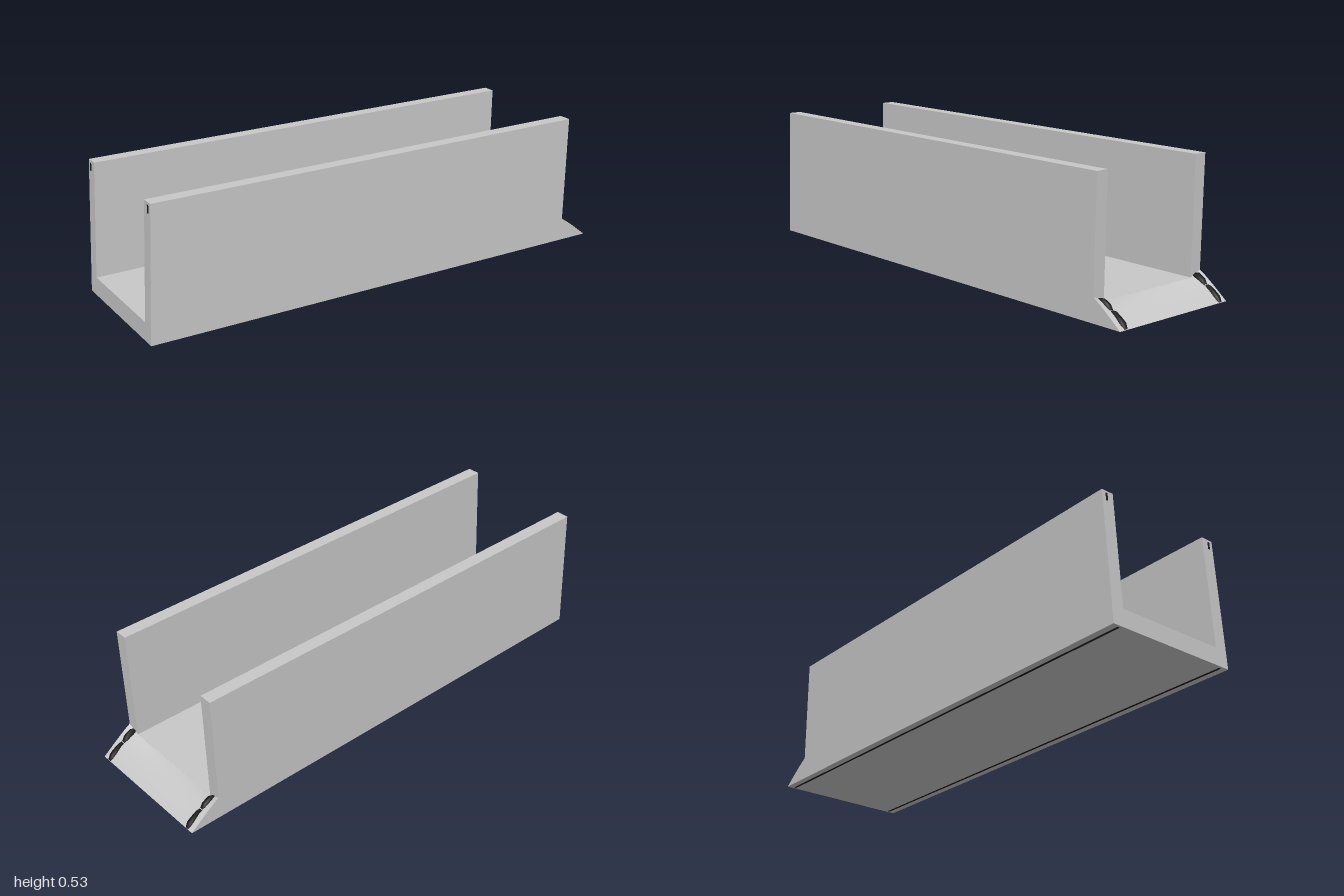
import * as THREE from 'three';
import { toCreasedNormals } from 'three/addons/utils/BufferGeometryUtils.js';

const HALF = 0.28, INNER = 0.228, FLOOR = 0.072, TOP = 0.53, LIP = 0.094;
const FRONT = 0.873;

const concrete = new THREE.MeshStandardMaterial({ name: 'light grey', color: 0xc8c8c8 });
const rubber = new THREE.MeshStandardMaterial({ name: 'black rubber', color: 0x1c1c1c, side: THREE.DoubleSide });

// Height of the sloping nose: t runs from the channel (0) to the tip (1)
function noseHeight(t, z) {
  const k = Math.max(0, (Math.abs(z) - INNER) / (HALF - INNER));
  const h = FLOOR + (LIP - FLOOR) * k;
  return h * (1 - Math.pow(t, 1.45 - 0.35 * k));
}
const noseX = (t) => FRONT + (1 - FRONT) * t;

// Surface through rows of equally many points
function loft(rows) {
  const pos = [], idx = [], n = rows[0].length;
  rows.forEach((r) => r.forEach((p) => pos.push(...p)));
  for (let i = 0; i < rows.length - 1; i++) {
    for (let j = 0; j < n - 1; j++) {
      const a = i * n + j, b = a + n;
      idx.push(a, b, a + 1, b, b + 1, a + 1);
    }
  }
  const g = new THREE.BufferGeometry();
  g.setAttribute('position', new THREE.Float32BufferAttribute(pos, 3));
  g.setIndex(idx);
  g.computeVertexNormals();
  return g;
}

function add(group, name, geometry, material) {
  const mesh = new THREE.Mesh(geometry, material);
  mesh.name = name;
  group.add(mesh);
  return mesh;
}

// U-shaped channel with slanted ends
function channelGeometry() {
  const u = new THREE.Shape([
    [-HALF, 0], [HALF, 0], [HALF, TOP], [INNER, TOP],
    [INNER, FLOOR], [-INNER, FLOOR], [-INNER, TOP], [-HALF, TOP],
  ].map(([x, y]) => new THREE.Vector2(x, y)));
  const g = new THREE.ExtrudeGeometry(u, { depth: 1, bevelEnabled: false });
  g.rotateY(Math.PI / 2);
  const p = g.attributes.position;
  for (let i = 0; i < p.count; i++) {
    const y = p.getY(i);
    p.setX(i, p.getX(i) > 0.5 ? FRONT + 0.015 * y : -1 + 0.05 * y);
  }
  g.computeVertexNormals();
  return g;
}

// Nose: rows across the width, each running down the slope and back underneath
function noseGeometry() {
  const rows = [-HALF, -INNER, 0, INNER, HALF].map((z) => {
    const row = [];
    for (let j = 0; j <= 12; j++) row.push([noseX(j / 12), noseHeight(j / 12, z), z]);
    row.push([FRONT, 0, z]);
    return row;
  });
  // Close both ends by collapsing the outer rows onto a corner
  const cap = (z) => rows[0].map(() => [FRONT, 0, z]);
  return toCreasedNormals(loft([cap(-HALF), ...rows, cap(HALF)]), 0.45);
}

// Domed rubber pad that follows the slope
function padGeometry(z0, t0, t1, widths) {
  const rows = widths.map((w, i) => {
    const t = t0 + (t1 - t0) * i / (widths.length - 1);
    const end = i === 0 || i === widths.length - 1;
    const lift = end ? 0.003 : 0.011;
    return [-1, -0.8, 0, 0.8, 1].map((s, j) => {
      const rise = j === 0 || j === 4 ? -0.003 : lift;
      const z = z0 + s * w;
      return [Math.min(1, noseX(t) + rise * 0.3), Math.max(0, noseHeight(t, z) + rise), z];
    });
  });
  return loft(rows);
}

export function createModel() {
  const model = new THREE.Group();
  model.name = 'channel';
  add(model, 'channelBody', channelGeometry(), concrete);
  add(model, 'slopingNose', noseGeometry(), concrete);

  for (const side of [-1, 1]) {
    const seal = new THREE.Group();
    seal.name = side > 0 ? 'frontSeal' : 'backSeal';
    const z = side * 0.248;
    add(seal, 'upperPad', padGeometry(z, 0, 0.45, [0.007, 0.01, 0.01, 0.01, 0.007]), rubber);
    add(seal, 'lowerPad', padGeometry(z, 0.47, 1, [0.007, 0.006, 0.008, 0.01, 0.01, 0.007]), rubber);
    // Thin strip along the underside
    const strip = add(seal, 'undersideStrip', new THREE.BoxGeometry(1.98, 0.004, 0.009), rubber);
    strip.position.set(0, 0.001, z);
    // Short end of the seal showing at the top of the rear face
    const tab = add(seal, 'rearTab', new THREE.BoxGeometry(0.004, 0.03, 0.008), rubber);
    tab.position.set(-1 + 0.05 * 0.505, 0.505, side * 0.26);
    tab.rotation.z = -0.05;
    model.add(seal);
  }
  return model;
}
